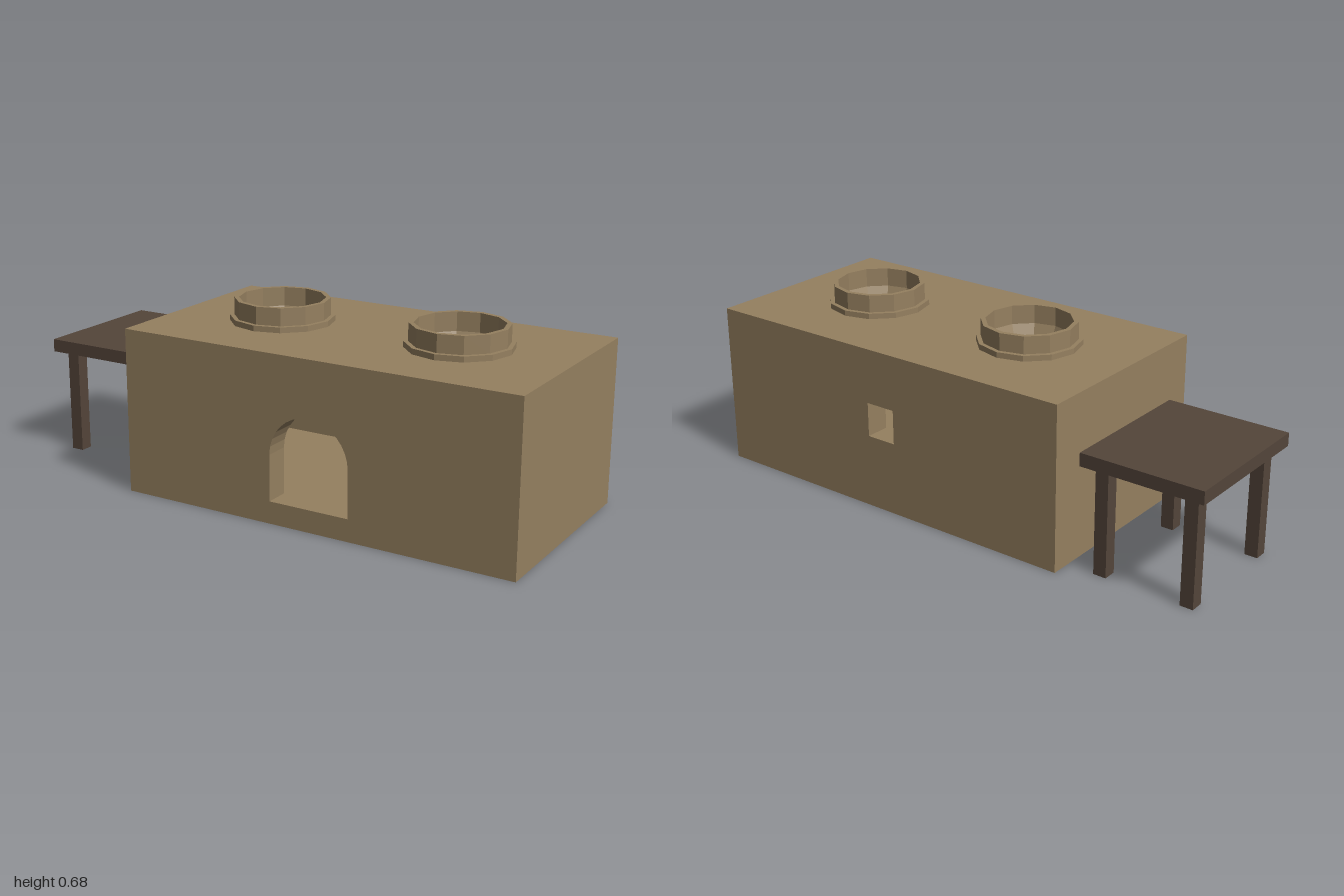
import * as THREE from 'three';

const clay = new THREE.MeshStandardMaterial({ color: 0x958060 });
clay.name = 'clay';
const wood = new THREE.MeshStandardMaterial({ color: 0x54453a });
wood.name = 'darkWood';

function add(parent, name, geometry, material) {
  const mesh = new THREE.Mesh(geometry, material);
  mesh.name = name;
  parent.add(mesh);
  return mesh;
}

// Box given by its limits on each axis
function block(parent, name, material, [x0, x1], [y0, y1], [z0, z1]) {
  const mesh = add(parent, name, new THREE.BoxGeometry(x1 - x0, y1 - y0, z1 - z0), material);
  mesh.position.set((x0 + x1) / 2, (y0 + y1) / 2, (z0 + z1) / 2);
  return mesh;
}

function rectangle(x0, x1, y0, y1, Type = THREE.Shape) {
  return new Type([[x0, y0], [x1, y0], [x1, y1], [x0, y1]].map(p => new THREE.Vector2(...p)));
}

function flat(geometry) {
  const g = geometry.toNonIndexed();
  g.computeVertexNormals();
  return g;
}

const LEFT = 1, RIGHT = -0.485, HALF = 0.39, HEIGHT = 0.595, WALL = 0.09, FLOOR = 0.08;
const BURNERS = [-0.09, 0.6];

function createStove() {
  const stove = new THREE.Group();
  stove.name = 'stove';
  const slab = shape => new THREE.ExtrudeGeometry(shape, { depth: WALL, bevelEnabled: false, curveSegments: 8 });

  // Front wall with the arched fire door
  const front = rectangle(RIGHT, LEFT, 0, HEIGHT);
  const arch = new THREE.Path();
  arch.moveTo(0.105, FLOOR);
  arch.lineTo(0.405, FLOOR);
  arch.lineTo(0.405, 0.245);
  arch.absarc(0.255, 0.245, 0.15, 0, Math.PI, false);
  arch.lineTo(0.105, FLOOR);
  front.holes.push(arch);
  add(stove, 'frontWall', slab(front), clay).position.z = HALF - WALL;

  // Back wall with a square vent
  const back = rectangle(RIGHT, LEFT, 0, HEIGHT);
  back.holes.push(rectangle(0.2, 0.315, 0.27, 0.395, THREE.Path));
  add(stove, 'backWall', slab(back), clay).position.z = -HALF;

  // Side walls and hearth floor
  const inner = [-HALF + WALL, HALF - WALL];
  block(stove, 'rightWall', clay, [RIGHT, RIGHT + WALL], [0, HEIGHT], inner);
  block(stove, 'leftWall', clay, [LEFT - WALL, LEFT], [0, HEIGHT], inner);
  block(stove, 'hearthFloor', clay, [RIGHT + WALL, LEFT - WALL], [0, FLOOR], inner);

  // Stove top with two twelve-sided openings
  const top = rectangle(RIGHT + WALL, LEFT - WALL, ...inner);
  for (const x of BURNERS) {
    const points = [];
    for (let i = 0; i < 12; i++) {
      const a = i * Math.PI / 6;
      points.push(new THREE.Vector2(x + 0.165 * Math.cos(a), 0.165 * Math.sin(a)));
    }
    top.holes.push(new THREE.Path(points));
  }
  const topMesh = add(stove, 'stoveTop', slab(top), clay);
  topMesh.rotation.x = -Math.PI / 2;
  topMesh.position.y = HEIGHT - WALL;

  // Burner rings: stepped collar outside, funnel inside, open at the bottom
  const profile = [
    [0.07, 0.5], [0.18, 0.5], [0.18, HEIGHT], [0.186, HEIGHT], [0.186, 0.615],
    [0.17, 0.615], [0.17, 0.678], [0.153, 0.678], [0.153, 0.61], [0.125, 0.54], [0.07, 0.5],
  ].map(p => new THREE.Vector2(...p));
  for (const x of BURNERS) {
    add(stove, 'burnerRing', flat(new THREE.LatheGeometry(profile, 12)), clay).position.x = x;
  }
  return stove;
}

function createTable() {
  const table = new THREE.Group();
  table.name = 'sideTable';
  block(table, 'tableTop', wood, [-1, -0.55], [0.39, 0.437], [-0.355, 0.18]);
  for (const x of [-0.938, -0.612]) {
    for (const z of [-0.295, 0.12]) {
      block(table, 'tableLeg', wood, [x - 0.024, x + 0.024], [0, 0.39], [z - 0.024, z + 0.024]);
    }
  }
  return table;
}

export function createModel() {
  const model = new THREE.Group();
  model.name = 'claystoveWithTable';
  model.add(createStove(), createTable());
  return model;
}
